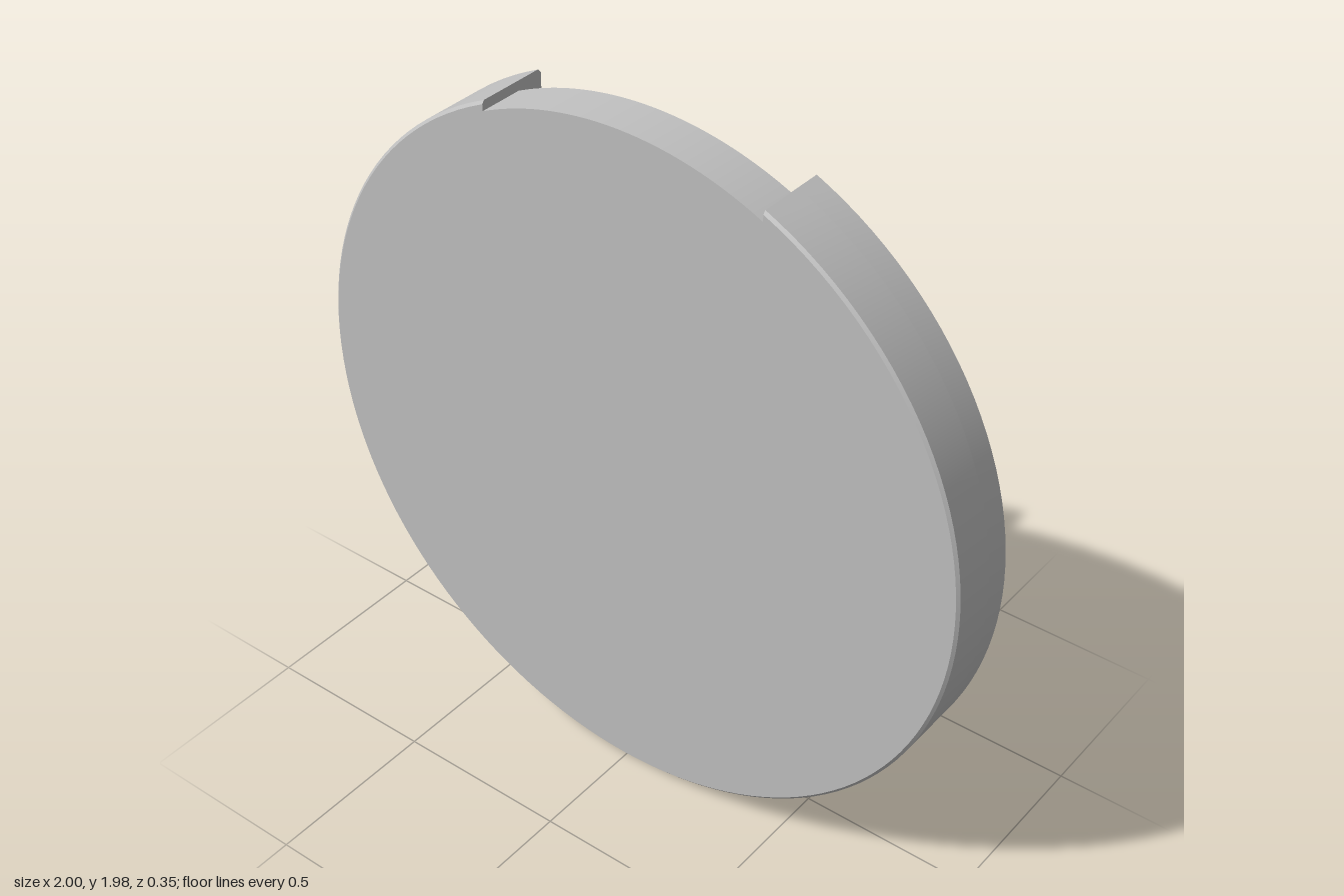
import * as THREE from 'three';
import { toCreasedNormals } from 'three/addons/utils/BufferGeometryUtils.js';

const HALF_NOTCH = 0.415, LIP_R = 0.975, PI = Math.PI;

// Points along an arc, in order from angle a to angle b
function arc(cx, cy, r, a, b, n) {
  return Array.from({ length: n + 1 }, (_, i) => {
    const t = a + (b - a) * i / n;
    return new THREE.Vector2(cx + r * Math.cos(t), cy + r * Math.sin(t));
  });
}

// Closed solid through matching outlines [[z, points], ...], z ascending, counter-clockwise
function loft(rings) {
  const pos = [];
  const put = (ring, i) => pos.push(ring[1][i].x, ring[1][i].y, ring[0]);
  for (let k = 0; k < rings.length - 1; k++) {
    const lo = rings[k], hi = rings[k + 1], n = lo[1].length;
    for (let i = 0; i < n; i++) {
      const j = (i + 1) % n;
      put(lo, i); put(lo, j); put(hi, j);
      put(lo, i); put(hi, j); put(hi, i);
    }
  }
  const first = rings[0], last = rings[rings.length - 1];
  for (const [a, b, c] of THREE.ShapeUtils.triangulateShape(first[1], [])) {
    put(first, a); put(first, c); put(first, b);
  }
  for (const [a, b, c] of THREE.ShapeUtils.triangulateShape(last[1], [])) {
    put(last, a); put(last, b); put(last, c);
  }
  const geo = new THREE.BufferGeometry();
  geo.setAttribute('position', new THREE.Float32BufferAttribute(pos, 3));
  return toCreasedNormals(geo, 0.45);
}

// Disc rim, leaving the notch open at the top
function rim(r) {
  const a = Math.asin(HALF_NOTCH / r);
  return arc(0, 0, r, PI / 2 + a, 2.5 * PI - a, 120);
}

// Front plate outline: the notch is closed by a slightly smaller arc
function frontOutline(r) {
  const a = Math.asin(HALF_NOTCH / LIP_R);
  return [...rim(r), ...arc(0, 0, LIP_R, PI / 2 - a, PI / 2 + a, 28)];
}

// Back plate outline: a round-cornered pocket is cut down from the notch
function backOutline(r) {
  const c = 0.25, x = HALF_NOTCH - c, y = 0.46 + c;
  return [...rim(r), ...arc(x, y, c, 0, -PI / 2, 14), ...arc(-x, y, c, -PI / 2, -PI, 14)];
}

const circle = (r, n) => arc(0, 0, r, 0, 2 * PI, n).slice(0, n);

export function createModel() {
  const model = new THREE.Group();
  model.name = 'notchedDisc';
  const grey = new THREE.MeshStandardMaterial({ color: 0xc0c0c0 });
  grey.name = 'grey';
  const add = (name, geo, parent = model) => {
    const mesh = new THREE.Mesh(geo, grey);
    mesh.name = name;
    parent.add(mesh);
    return mesh;
  };

  // Disc with chamfered rims
  add('frontPlate', loft([
    [0.043, frontOutline(1)], [0.168, frontOutline(1)], [0.175, frontOutline(0.992)],
  ]));
  add('backPlate', loft([
    [-0.04, backOutline(0.99)], [-0.03, backOutline(1)], [0.043, backOutline(1)],
  ]));

  // Central hub on the back
  add('hub', loft([
    [-0.175, circle(0.407, 96)], [-0.164, circle(0.418, 96)], [-0.035, circle(0.418, 96)],
  ]));

  // Slotted pin below the hub
  const pin = new THREE.Group();
  pin.name = 'slottedPin';
  pin.position.y = -0.665;
  model.add(pin);
  const R = 0.076, fillet = 0.045, tip = -0.163, slot = 0.016;
  add('pinBase', loft([[-0.118, circle(R, 40)], [-0.035, circle(R, 40)]]), pin);
  for (const side of [0, 1]) {
    const rings = [];
    for (let i = 0; i <= 8; i++) {
      const t = i / 8 * PI / 2;
      const r = R - fillet + fillet * Math.sin(t);
      const a = Math.acos(slot / r);
      rings.push([tip + fillet * (1 - Math.cos(t)), arc(0, 0, r, side * PI - a, side * PI + a, 20)]);
    }
    add(side ? 'pinTipRight' : 'pinTipLeft', loft(rings), pin);
  }

  model.position.y = 1;
  const root = new THREE.Group();
  root.name = 'model';
  root.add(model);
  return root;
}
